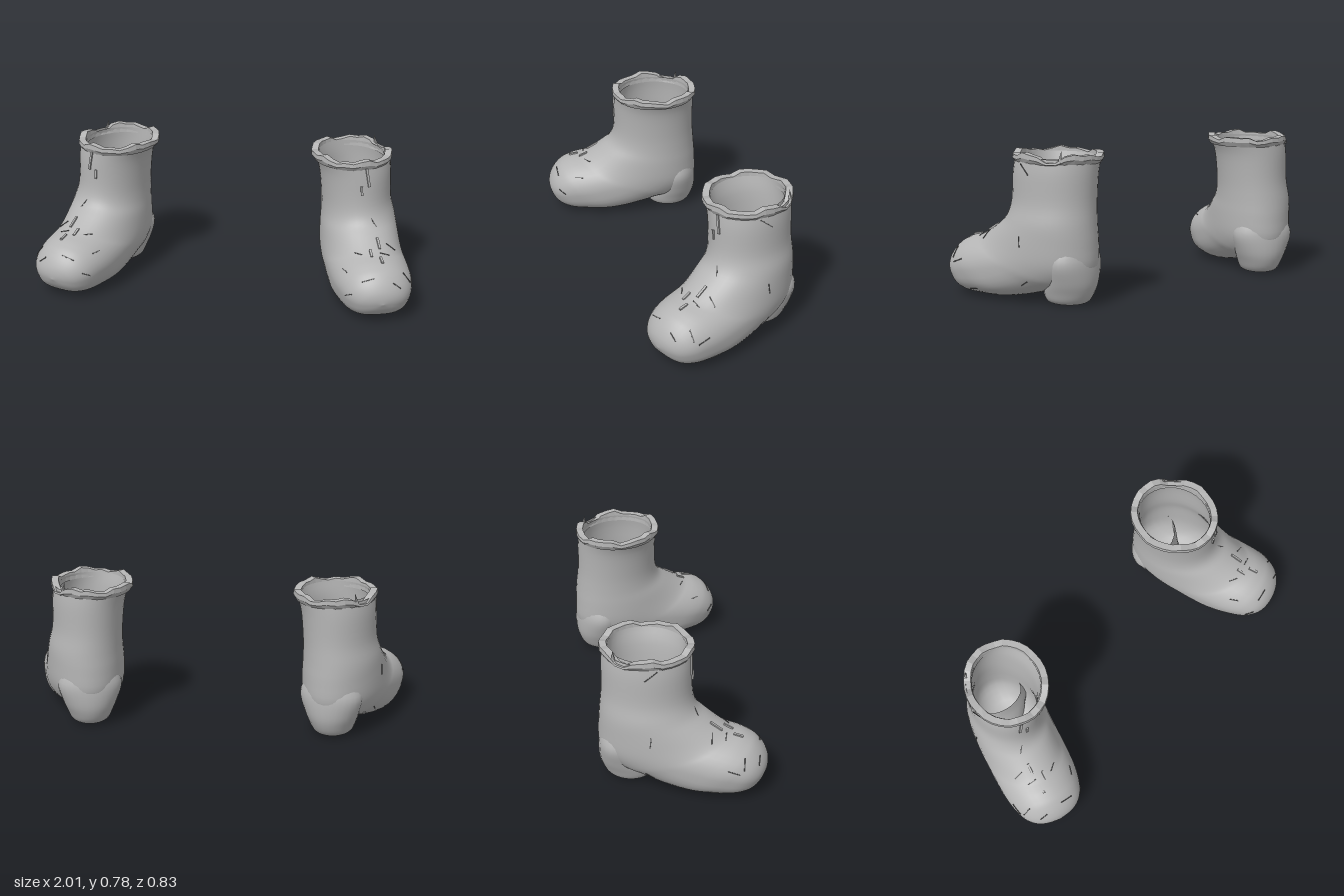
import * as THREE from 'three';

const leather = new THREE.MeshStandardMaterial({ color: 0xb4b4b4, side: THREE.DoubleSide });
leather.name = 'grey leather';
const crease = new THREE.MeshStandardMaterial({ color: 0x5c5c5c });
crease.name = 'dark crease';

// Cross-sections: front [forward, y], back [forward, y], half width, sideways shift
const BODY = [
  [0.235, 0.735, -0.21, 0.735, 0.2, -0.04],
  [0.24, 0.65, -0.21, 0.65, 0.19, -0.02],
  [0.245, 0.51, -0.21, 0.51, 0.185, -0.01],
  [0.272, 0.43, -0.218, 0.4, 0.195, 0],
  [0.33, 0.38, -0.225, 0.3, 0.203, 0],
  [0.4, 0.335, -0.22, 0.18, 0.208, 0],
  [0.44, 0.315, -0.14, 0.1, 0.21, 0],
  [0.47, 0.307, -0.02, 0.07, 0.21, 0],
  [0.5, 0.3, 0.12, 0.035, 0.209, 0],
  [0.53, 0.288, 0.25, 0.013, 0.205, 0],
  [0.565, 0.268, 0.36, 0.01, 0.193, 0],
  [0.6, 0.23, 0.47, 0.012, 0.168, 0],
  [0.622, 0.19, 0.55, 0.03, 0.125, 0],
  [0.63, 0.155, 0.6, 0.07, 0.07, 0],
  [0.629, 0.12, 0.629, 0.12, 0, 0],
];
const HEEL = [
  [0.0, 0.3, -0.2, 0.3, 0.14, 0],
  [0.01, 0.22, -0.222, 0.22, 0.168, 0],
  [0.035, 0.13, -0.225, 0.13, 0.145, 0],
  [0.055, 0.07, -0.212, 0.07, 0.122, 0],
  [0.045, 0.022, -0.185, 0.022, 0.1, 0],
  [0.01, 0.005, -0.145, 0.005, 0.065, 0],
  [-0.07, 0.003, -0.07, 0.003, 0, 0],
];

// Boot space (sideways, up, forward) to world, turned outward; s = +1 left, -1 right
const toWorld = (l, y, f, s) =>
  new THREE.Vector3(s * (0.67 + 0.946 * l + 0.324 * f), y, -0.21 + 0.946 * f - 0.324 * l);

// Surface through the sections: u runs down the sections, t runs around
function makeSurface(sections, s, squareSole) {
  const front = new THREE.CatmullRomCurve3(sections.map(a => new THREE.Vector3(a[0], a[1], a[4])), false, 'catmullrom');
  const back = new THREE.CatmullRomCurve3(sections.map(a => new THREE.Vector3(a[2], a[3], a[5])), false, 'catmullrom');
  return (u, t, inset = 0, dy = 0) => {
    const A = front.getPoint(u), B = back.getPoint(u);
    const n = 2 + (squareSole ? 0.9 * THREE.MathUtils.smoothstep(u, 0.4, 0.65) : 0);
    let c = Math.cos(t), d = Math.sin(t);
    if (c < 0) {
      c = -Math.pow(-c, 2 / n);
      d = Math.sign(d) * Math.pow(Math.abs(d), 2 / n);
    }
    const hf = (A.x - B.x) / 2, hy = (A.y - B.y) / 2, len = Math.hypot(hf, hy);
    const k = len > 1e-6 ? Math.max(0, len - inset) / len : 0;
    const w = Math.max(0, A.z - inset);
    return toWorld(B.z + d * w, (A.y + B.y) / 2 + c * hy * k + dy, (A.x + B.x) / 2 + c * hf * k, s);
  };
}

// Skin rows of points; flip turns the faces the other way
function skin(point, rows, cols, flip) {
  const pos = [], idx = [];
  for (let i = 0; i <= rows; i++) {
    for (let j = 0; j < cols; j++) pos.push(...point(i, (j / cols) * Math.PI * 2).toArray());
  }
  for (let i = 0; i < rows; i++) {
    for (let j = 0; j < cols; j++) {
      const a = i * cols + j, b = i * cols + ((j + 1) % cols), c = a + cols, d = b + cols;
      idx.push(...(flip ? [a, b, c, b, d, c] : [a, c, b, b, c, d]));
    }
  }
  const g = new THREE.BufferGeometry();
  g.setAttribute('position', new THREE.Float32BufferAttribute(pos, 3));
  g.setIndex(idx);
  g.computeVertexNormals();
  return g;
}

function addMesh(group, name, geometry, material = leather) {
  const m = new THREE.Mesh(geometry, material);
  m.name = name;
  group.add(m);
  return m;
}

// Ragged height of the torn top edge, with one notch at the outer back
const tear = t => 0.01 + 0.008 * Math.sin(5 * t + 1) + 0.006 * Math.sin(11 * t)
  - 0.035 * Math.exp(-(((t - 1.95) / 0.16) ** 2));

// Rim profile from inside to outside: [inset, height, follows tear]
const RIM = [[0.028, -0.03, 0], [0.024, 0.004, 1], [-0.012, 0.004, 1], [-0.014, -0.014, 0.6], [0, -0.03, 0]];

// Creases on the skin: [u, t, length, roll]
const CREASES = [
  [0.05, 1.3, 0.08, 0.9], [0.3, 1.5, 0.055, 0.5], [0.7, 1.2, 0.065, 0.1], [0.72, 0.85, 0.065, 1.3],
  [0.72, 2.2, 0.06, 0.1], [0.5, 2.2, 0.05, 0.3], [0.22, 0.15, 0.06, 0.4], [0.4, -0.4, 0.05, 0.9],
  [0.36, 0.5, 0.06, 1.1], [0.75, -0.4, 0.07, 1.5], [0.8, 0.5, 0.05, 1.4], [0.6, -0.9, 0.05, 0.3],
  [0.78, -1.3, 0.05, 0.8], [0.42, 0.25, 0.05, 1.4],
];
// Lifted flaps along the instep: [u, t, length]
const FLAPS = [[0.06, 0.1, 0.1], [0.1, -0.1, 0.05], [0.33, 0.15, 0.07], [0.4, -0.1, 0.05], [0.53, 0.1, 0.05]];

// Thin box lying on the surface
function addSliver(group, name, surf, s, [u, t, length, roll], width, thick, material) {
  const p = surf(u, t), e = 0.01;
  const du = surf(u + e, t).sub(surf(u - e, t)).normalize();
  const dt = surf(u, t + e).sub(surf(u, t - e));
  const n = du.clone().cross(dt).normalize().multiplyScalar(s);
  const x = du.applyAxisAngle(n, roll * s);
  const m = addMesh(group, name, new THREE.BoxGeometry(length, thick, width), material);
  m.quaternion.setFromRotationMatrix(new THREE.Matrix4().makeBasis(x, n, x.clone().cross(n)));
  m.position.copy(p);
}

function makeBoot(s) {
  const boot = new THREE.Group();
  boot.name = s > 0 ? 'leftBoot' : 'rightBoot';
  const body = makeSurface(BODY, s, true), heel = makeSurface(HEEL, s, false);
  const flip = s < 0;

  // Outer skin, lining and heel
  addMesh(boot, 'outerSkin', skin((i, t) => body(i / 56, t), 56, 40, flip));
  addMesh(boot, 'lining', skin((i, t) => body(i / 42, t, 0.028), 42, 32, !flip));
  addMesh(boot, 'heel', skin((i, t) => heel(i / 24, t), 24, 28, flip));

  // Torn rim, faceted
  const rim = skin((i, t) => body(0, t, RIM[i][0], RIM[i][1] + RIM[i][2] * tear(t)), RIM.length - 1, 30, flip).toNonIndexed();
  rim.computeVertexNormals();
  addMesh(boot, 'tornRim', rim);

  // Loose spike beside the notch
  const spike = addMesh(boot, 'rimSpike', new THREE.ConeGeometry(0.012, 0.06, 4));
  spike.position.copy(body(0, 2.2, 0, 0.015));
  spike.rotation.z = 0.2 * s;

  CREASES.forEach(c => addSliver(boot, 'crease', body, s, c, 0.005, 0.004, crease));
  FLAPS.forEach(f => addSliver(boot, 'flap', body, s, [...f, 0], 0.012, 0.014, leather));
  return boot;
}

export function createModel() {
  const model = new THREE.Group();
  model.name = 'pairOfBoots';
  model.add(makeBoot(1), makeBoot(-1));
  return model;
}
